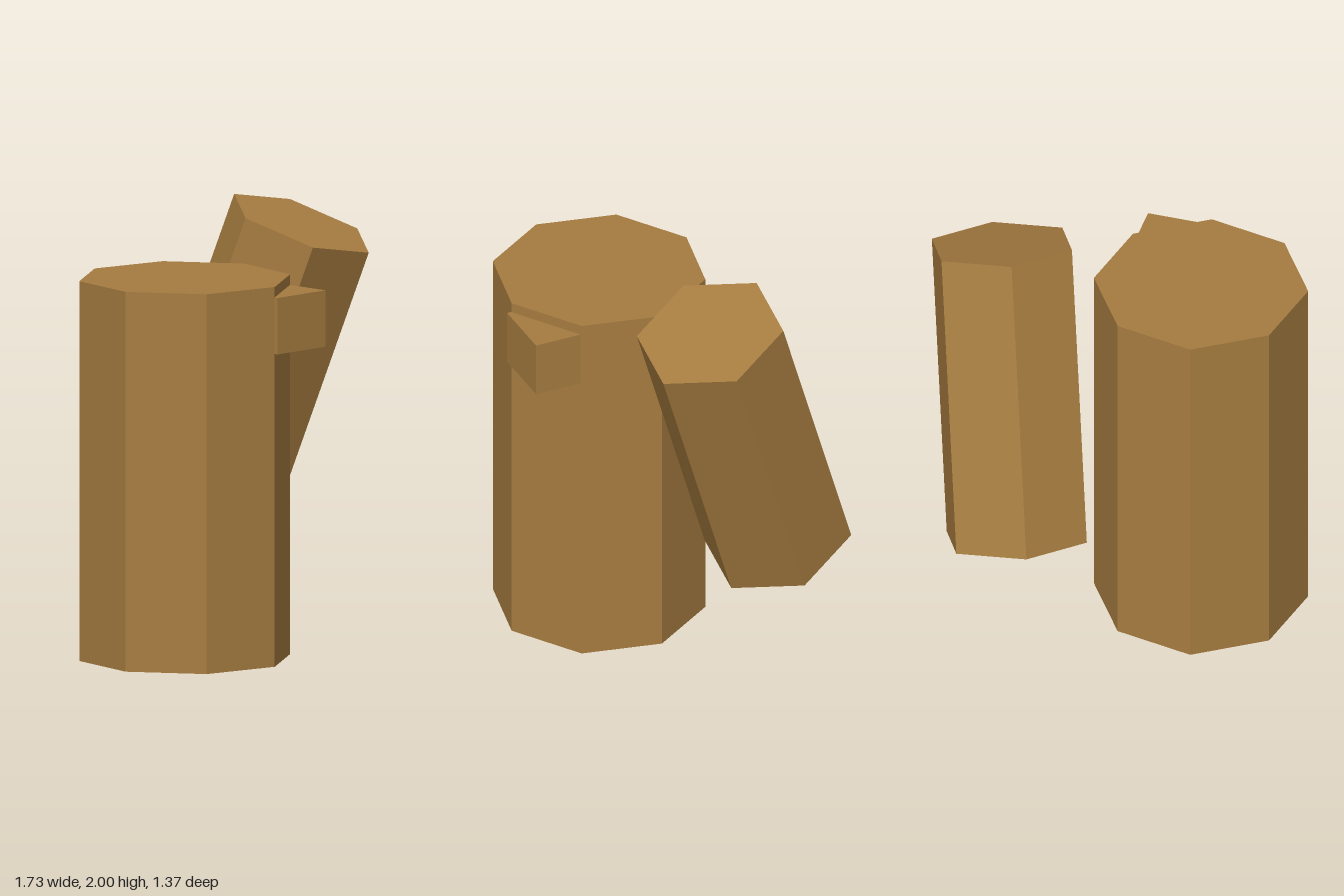
import * as THREE from 'three';

export function createModel() {
  const group = new THREE.Group();
  const wood = new THREE.MeshStandardMaterial({ color: 0xa67c40, flatShading: true });
  wood.name = 'wood';

  const add = (name, geometry) => {
    const mesh = new THREE.Mesh(geometry, wood);
    mesh.name = name;
    group.add(mesh);
    return mesh;
  };

  // Upright eight-sided trunk
  const trunk = add('trunk', new THREE.CylinderGeometry(0.49, 0.49, 1.75, 8));
  trunk.position.set(-0.385, 0.875, 0.178);
  trunk.rotation.y = THREE.MathUtils.degToRad(10.7);

  // Small block set into the trunk near its top
  const block = add('block', new THREE.BoxGeometry(0.312, 0.26, 0.31));
  block.position.set(-0.141, 1.572, 0.526);

  // Leaning six-sided log: its axis runs between the two end centres
  const bottom = new THREE.Vector3(0.321, 0.567, -0.391);
  const top = new THREE.Vector3(0.52, 1.882, 0.043);
  const axis = top.clone().sub(bottom);
  const log = add('leaningLog', new THREE.CylinderGeometry(0.346, 0.346, axis.length(), 6));
  axis.normalize();
  const side = new THREE.Vector3(0.341, -0.06, 0.025);
  side.addScaledVector(axis, -side.dot(axis)).normalize();
  const across = axis.clone().cross(side);
  log.quaternion.setFromRotationMatrix(new THREE.Matrix4().makeBasis(across, axis, side));
  log.position.copy(bottom).add(top).multiplyScalar(0.5);

  return group;
}
